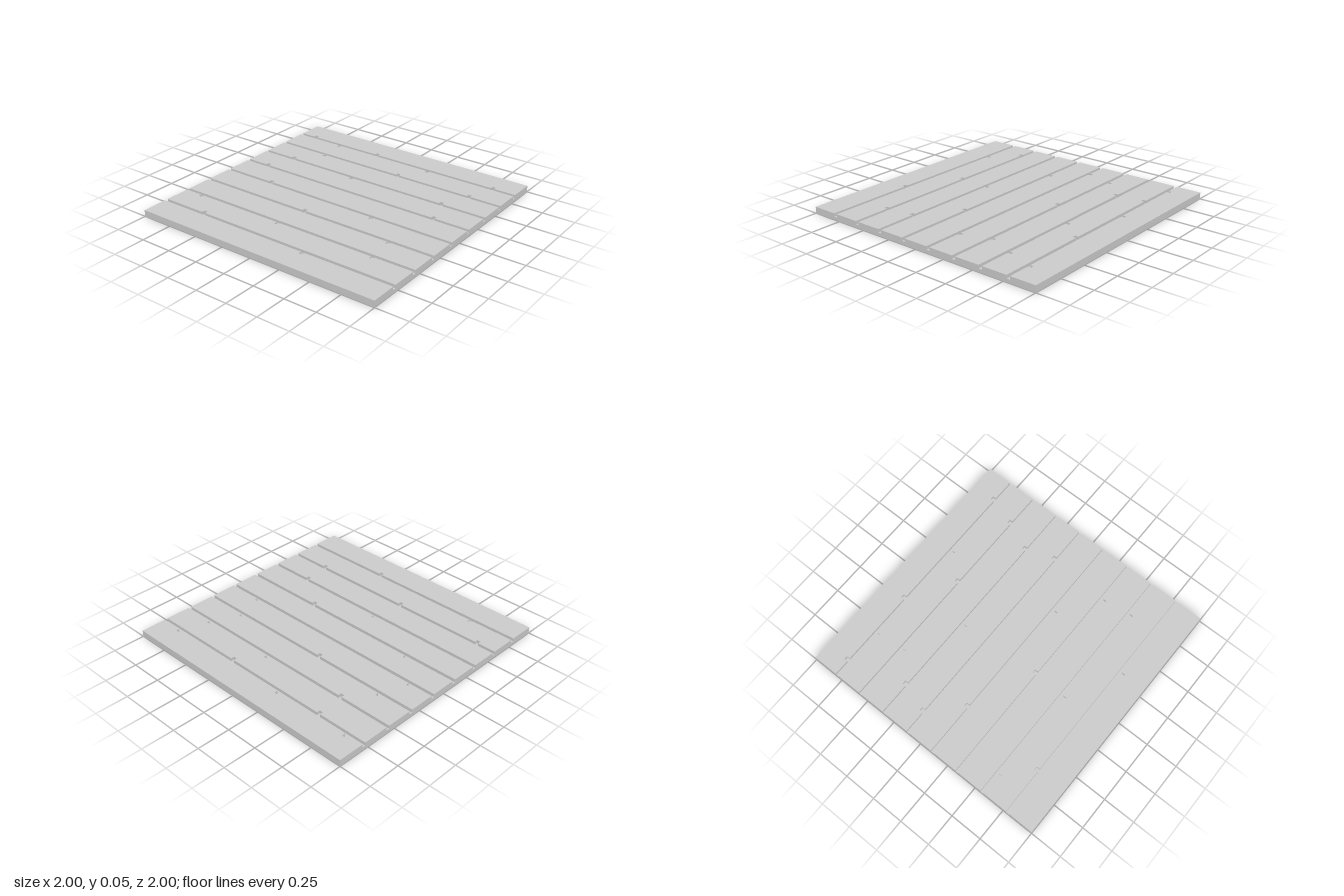
import * as THREE from 'three';

const HALF = 1, FLOOR = 0.025, TOP = 0.05;
const GROOVE = 0.0135;              // half width of a groove
const NOTCH_W = 0.014, NOTCH_D = 0.026;

// x positions of the small notches on the back and front side of each groove, back to front
const grooves = [
  { back: [-0.864, -0.24, 0.813], front: [-0.588, 0.262] },
  { back: [0.111, 0.737], front: [-0.564] },
  { back: [-0.738, 0.636], front: [-0.14] },
  { back: [-0.813, 0.711], front: [] },
  { back: [-0.588], front: [0.363] },
  { back: [-0.087], front: [0.662] },
  { back: [], front: [-0.84, -0.113, 0.69] },
  { back: [-0.637], front: [0.288] },
].map((g, i) => ({ ...g, z: -0.7875 + 0.225 * i }));

// One edge running left to right; notches step away towards dir
function edge(z, notches = [], dir = 0) {
  const pts = [[-HALF, z]];
  for (const x of notches) {
    const d = z + dir * NOTCH_D;
    pts.push([x - NOTCH_W, z], [x - NOTCH_W, d], [x + NOTCH_W, d], [x + NOTCH_W, z]);
  }
  pts.push([HALF, z]);
  return pts;
}
const backSide = (g) => edge(g.z - GROOVE, g.back, -1);
const frontSide = (g) => edge(g.z + GROOVE, g.front, 1);

// Flat outline between two edges (shape y is -z)
function outline(backEdge, frontEdge) {
  return new THREE.Shape([...frontEdge, ...backEdge.slice().reverse()].map(([x, z]) => new THREE.Vector2(x, -z)));
}

// Removes the triangles that face straight up (1) or down (-1), where parts join
function dropFaces(geometry, ny) {
  const src = geometry.index ? geometry.toNonIndexed() : geometry;
  const p = src.attributes.position.array, n = src.attributes.normal.array;
  const pos = [], nor = [];
  for (let i = 0; i < p.length; i += 9) {
    if (n[i + 1] * ny > 0.9) continue;
    pos.push(...p.slice(i, i + 9));
    nor.push(...n.slice(i, i + 9));
  }
  const out = new THREE.BufferGeometry();
  out.setAttribute('position', new THREE.Float32BufferAttribute(pos, 3));
  out.setAttribute('normal', new THREE.Float32BufferAttribute(nor, 3));
  return out;
}

export function createModel() {
  const group = new THREE.Group();
  group.name = 'groovedPanel';
  const material = new THREE.MeshStandardMaterial({ color: 0xcccccc });
  const add = (name, geometry) => {
    const mesh = new THREE.Mesh(geometry, material);
    mesh.name = name;
    group.add(mesh);
  };

  // Lower half of the panel
  const base = new THREE.BoxGeometry(2 * HALF, FLOOR, 2 * HALF).translate(0, FLOOR / 2, 0);
  add('base', dropFaces(base, 1));

  // Raised strips between the grooves
  for (let i = 0; i <= grooves.length; i++) {
    const back = i === 0 ? edge(-HALF) : frontSide(grooves[i - 1]);
    const front = i === grooves.length ? edge(HALF) : backSide(grooves[i]);
    const strip = new THREE.ExtrudeGeometry(outline(back, front), { depth: TOP - FLOOR, bevelEnabled: false });
    strip.rotateX(-Math.PI / 2).translate(0, FLOOR, 0);
    add(`strip${i + 1}`, dropFaces(strip, -1));
  }

  // Groove floors, including their notches
  grooves.forEach((g, i) => {
    const floor = new THREE.ShapeGeometry(outline(backSide(g), frontSide(g)));
    add(`grooveFloor${i + 1}`, floor.rotateX(-Math.PI / 2).translate(0, FLOOR, 0));
  });

  return group;
}
